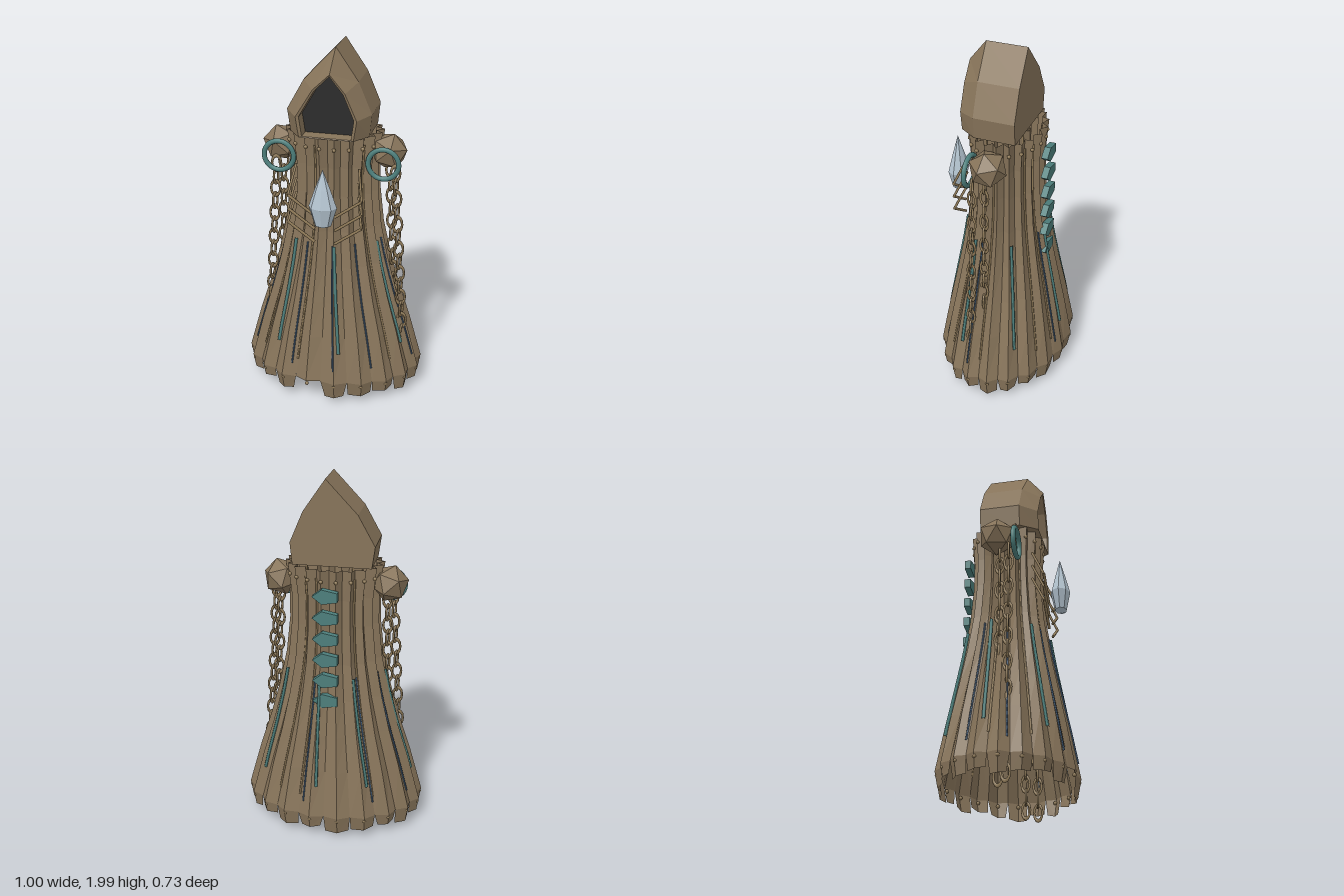
import * as THREE from 'three';

const mat = (name, color, extra = {}) => Object.assign(new THREE.MeshStandardMaterial({ color, ...extra }), { name });
const cloth = mat('brown cloth', 0x87745a, { side: THREE.DoubleSide });
const bone = mat('tan bone', 0x8f7a58);
const dark = mat('dark void', 0x2b2b2b);
const teal = mat('teal metal', 0x4d7f7c);
const blue = mat('slate blue thread', 0x46607c);
const crystal = mat('pale crystal', 0xb4c4d0);

const V = (x, y, z) => new THREE.Vector3(x, y, z);

function add(parent, name, geometry, material, x = 0, y = 0, z = 0) {
  const mesh = new THREE.Mesh(geometry, material);
  mesh.name = name;
  mesh.position.set(x, y, z);
  parent.add(mesh);
  return mesh;
}

// Flat-shaded surface from a list of four-cornered faces
function fromQuads(quads) {
  const points = quads.flatMap(([a, b, c, d]) => [a, b, c, a, c, d]);
  const geometry = new THREE.BufferGeometry().setFromPoints(points);
  geometry.computeVertexNormals();
  return geometry;
}

// Robe profile: height, half width, half depth, valley factor
const PROFILE = [
  [0.03, 0.49, 0.35, 0.94], [0.14, 0.508, 0.372, 0.94], [0.4, 0.435, 0.325, 0.92],
  [0.6, 0.37, 0.285, 0.91], [0.8, 0.315, 0.245, 0.89], [1.0, 0.272, 0.212, 0.87],
  [1.2, 0.25, 0.195, 0.86], [1.36, 0.248, 0.192, 0.85], [1.53, 0.268, 0.205, 0.84],
];
const PLEATS = 20;
const STEP = 360 / PLEATS;

// Point on the pleated robe; the angle runs in degrees from the front towards +x
function robePoint(deg, y, offset = 0) {
  let i = 0;
  while (i < PROFILE.length - 2 && y > PROFILE[i + 1][0]) i++;
  const t = (y - PROFILE[i][0]) / (PROFILE[i + 1][0] - PROFILE[i][0]);
  const [, rx, rz, valley] = PROFILE[i].map((v, k) => THREE.MathUtils.lerp(v, PROFILE[i + 1][k], t));
  const u = deg / STEP - Math.floor(deg / STEP);
  const f = valley + (1 - valley) * (1 - Math.abs(2 * u - 1));
  const a = THREE.MathUtils.degToRad(deg);
  return V((rx * f + offset) * Math.sin(a), y, (rz * f + offset) * Math.cos(a));
}

// Pleated cloth with a torn hem of separate strips
function robeGeometry() {
  const quads = [];
  const levels = PROFILE.slice(1).map((p) => p[0]);
  for (let p = 0; p < PLEATS; p++) {
    const left = p * STEP, mid = left + STEP / 2, right = left + STEP;
    for (const [a, b] of [[left, mid], [mid, right - 1e-4]]) {
      for (let i = 0; i < levels.length - 1; i++) {
        quads.push([robePoint(a, levels[i]), robePoint(b, levels[i]),
          robePoint(b, levels[i + 1]), robePoint(a, levels[i + 1])]);
      }
    }
    if (p === PLEATS - 1) continue; // missing strip beside the front centre
    const hem = 0.035 + 0.035 * ((p * 7) % 5) / 4;
    const gap = p % 3 === 0 ? 2.5 : 0.8;
    quads.push([robePoint(left + gap, hem), robePoint(mid, hem), robePoint(mid, 0.14), robePoint(left, 0.14)]);
    quads.push([robePoint(mid, hem), robePoint(right - gap, hem + 0.01),
      robePoint(right - 1e-4, 0.14), robePoint(mid, 0.14)]);
  }
  return fromQuads(quads);
}

// Thin cord lying on the robe
function cord(parent, name, deg, yTop, yBottom, radius, material, drift = 3) {
  const points = [];
  for (let i = 0; i <= 8; i++) {
    const t = i / 8;
    points.push(robePoint(deg + drift * (t - 0.5), THREE.MathUtils.lerp(yTop, yBottom, t), radius * 0.6));
  }
  add(parent, name, new THREE.TubeGeometry(new THREE.CatmullRomCurve3(points), 16, radius, 5), material);
}

// Straight bar between two points
function bar(parent, name, a, b, radius, material) {
  const mesh = add(parent, name, new THREE.CylinderGeometry(radius, radius, a.distanceTo(b), 6), material);
  mesh.position.copy(a).lerp(b, 0.5);
  mesh.quaternion.setFromUnitVectors(V(0, 1, 0), b.clone().sub(a).normalize());
}

function buildHood(parent) {
  const outer = [[0.21, 1.53], [0.222, 1.65], [0.15, 1.82], [0.03, 1.995], [-0.14, 1.815], [-0.232, 1.65], [-0.215, 1.53]];
  const rim = [[0.145, 1.53], [0.162, 1.64], [0.1, 1.78], [0.02, 1.875], [-0.07, 1.79], [-0.162, 1.64], [-0.145, 1.53]];
  const opening = rim.map(([x, y]) => [x * 0.9, 1.535 + (y - 1.53) * 0.95]);
  const sections = [[outer, -0.115], [outer, 0.11], [rim, 0.205], [opening, 0.2], [opening, 0.125]];
  const quads = [];
  for (let i = 0; i < sections.length - 1; i++) {
    const [s0, z0] = sections[i], [s1, z1] = sections[i + 1];
    s0.forEach((p, j) => {
      const k = (j + 1) % s0.length;
      quads.push([V(...p, z0), V(...s0[k], z0), V(...s1[k], z1), V(...s1[j], z1)]);
    });
  }
  add(parent, 'hood', fromQuads(quads), cloth);
  const plate = (points) => new THREE.ShapeGeometry(new THREE.Shape(points.map((p) => new THREE.Vector2(...p))));
  add(parent, 'hoodBack', plate(outer.map(([x, y]) => [-x, y])), cloth, 0, 0, -0.115).rotation.y = Math.PI;
  add(parent, 'faceVoid', plate(opening), dark, 0, 0, 0.126);
}

// Hanging chain of alternately turned links
function chain(parent, x0, x1, z) {
  const group = new THREE.Group();
  group.name = 'chain';
  const link = new THREE.TorusGeometry(0.025, 0.0065, 6, 12).scale(1, 1.75, 1);
  const count = 18;
  for (let i = 0; i < count; i++) {
    const t = i / (count - 1);
    const mesh = add(group, 'chainLink', link, bone, x0 + (x1 - x0) * t, 1.32 - 1.255 * t, z);
    mesh.rotation.y = i % 2 ? 1.35 : 0.2;
  }
  parent.add(group);
}

export function createModel() {
  const model = new THREE.Group();
  model.name = 'hoodedWraith';
  add(model, 'robe', robeGeometry(), cloth);
  buildHood(model);

  // Rivets around the collar and inside the hem
  const rivet = new THREE.SphereGeometry(0.011, 8, 6);
  for (let p = 0; p < PLEATS; p++) {
    const deg = (p + 0.5) * STEP;
    add(model, 'collarRivet', rivet, bone).position.copy(robePoint(deg, 1.47, -0.004));
    add(model, 'hemRivet', rivet, bone).position.copy(robePoint(deg, 0.12, -0.008));
  }

  // Cords and threads running down the robe
  for (const deg of [11, -39, -150, 173, 121, 67, -96]) cord(model, 'tealCord', deg, 0.93, 0.32, 0.009, teal);
  for (const deg of [-22, 8, 36, -110, -75, 165, -145, 78]) cord(model, 'blueThread', deg, 0.93, 0.22, 0.005, blue, 1);
  for (const deg of [-18, -54, 54, 90, -90, 144, -144, 162]) cord(model, 'tanCord', deg, 1.48, 0.25, 0.006, bone, 0);

  for (const s of [1, -1]) {
    // Faceted shoulders and the rings in front of them
    const shoulder = add(model, 'shoulder', new THREE.IcosahedronGeometry(0.103, 0), cloth, s * 0.297, 1.42, 0);
    shoulder.rotation.set(0.2, 0.4 * s, s * 0.25);
    add(model, 'shoulderRing', new THREE.TorusGeometry(0.082, 0.014, 8, 28), teal, s * 0.285, 1.38, 0.105);

    // Three bent ribs on each side of the chest
    for (let i = 0; i < 3; i++) {
      const a = V(s * 0.17, 1.37 - 0.08 * i, 0.17);
      const b = V(s * 0.2, 1.215 - 0.078 * i, 0.24);
      const c = V(s * 0.055, 1.11 - 0.078 * i, 0.238);
      bar(model, 'ribBack', a, b, 0.007, bone);
      bar(model, 'ribFront', b, c, 0.008, bone);
    }
  }

  // Chains under the shoulders
  chain(model, 0.31, 0.36, 0.015);
  chain(model, 0.345, 0.425, 0.07);
  chain(model, -0.31, -0.385, 0.07);
  chain(model, -0.285, -0.31, 0.015);

  // Floating chest crystal
  const profile = [[0, 1.07], [0.045, 1.085], [0.076, 1.19], [0.042, 1.29], [0, 1.4]];
  const gem = new THREE.LatheGeometry(profile.map((p) => new THREE.Vector2(...p)), 8).scale(1, 1, 0.72).toNonIndexed();
  gem.computeVertexNormals();
  add(model, 'chestCrystal', gem, crystal, 0.005, 0, 0.295);

  // Column of five-sided plates down the back
  const spinePlate = new THREE.CylinderGeometry(0.075, 0.075, 0.035, 5).rotateX(Math.PI / 2).rotateZ(Math.PI / 2).scale(1, 0.57, 1);
  const flatPlate = spinePlate.toNonIndexed();
  flatPlate.computeVertexNormals();
  for (let i = 0; i < 6; i++) add(model, 'spinePlate', flatPlate, teal, 0.003, 1.405 - 0.12 * i, -0.228);

  return model;
}
